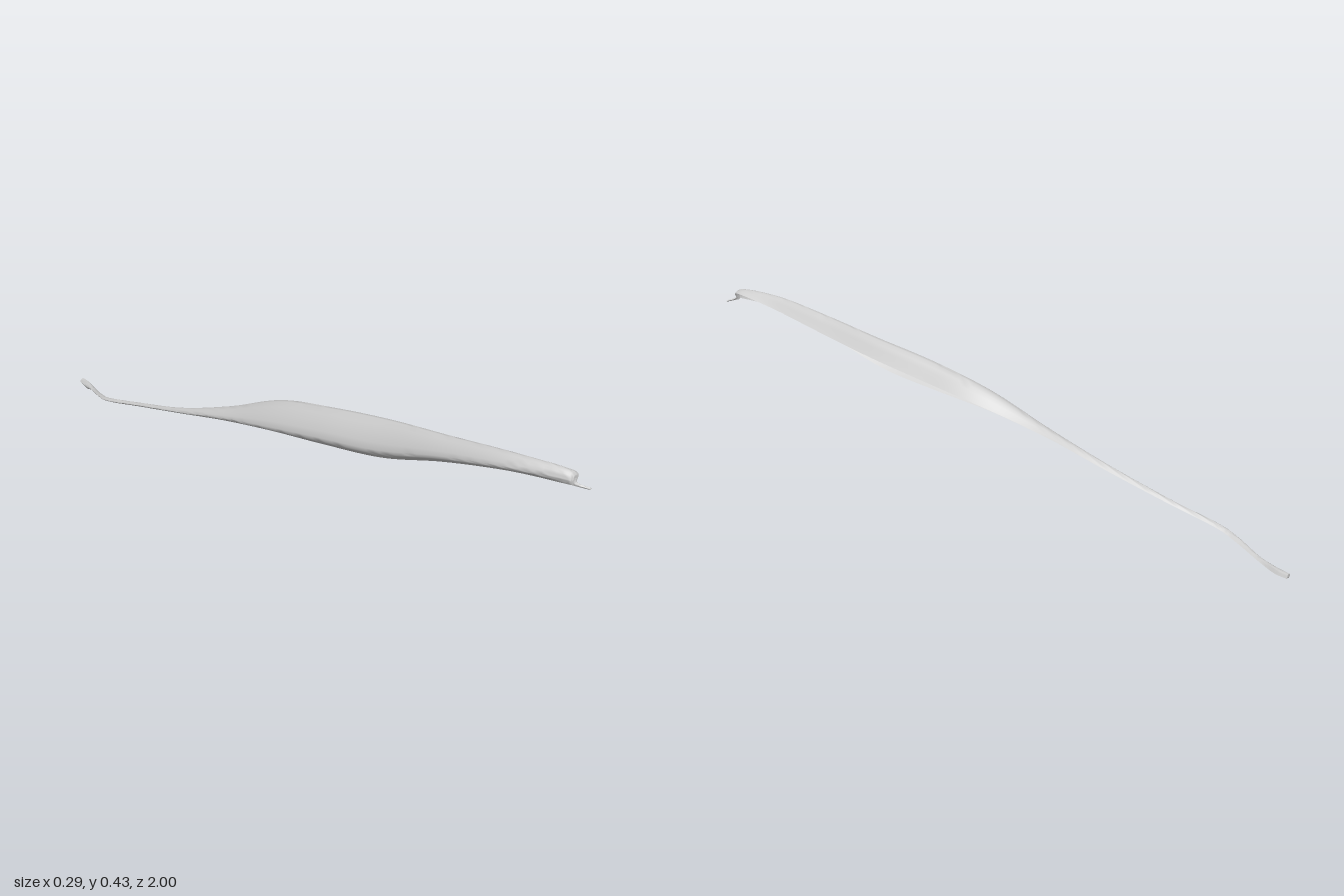
import * as THREE from 'three';
import { toCreasedNormals } from 'three/addons/utils/BufferGeometryUtils.js';

// Cross-sections from stalk end to leaf tip:
// [z, curled under-edge x,y, left side x,y, crown x,y, right edge x,y]
const STATIONS = [
  [-1.0, -0.088, 0.005, -0.096, 0.012, -0.083, 0.021, -0.075, 0.009],
  [-0.96, -0.097, 0.001, -0.101, 0.013, -0.086, 0.022, -0.077, 0.010],
  [-0.90, -0.105, 0.015, -0.112, 0.020, -0.104, 0.024, -0.094, 0.018],
  [-0.82, -0.130, 0.031, -0.137, 0.036, -0.129, 0.041, -0.117, 0.033],
  [-0.75, -0.139, 0.043, -0.147, 0.049, -0.138, 0.056, -0.125, 0.049],
  [-0.60, -0.118, 0.076, -0.126, 0.083, -0.117, 0.090, -0.105, 0.083],
  [-0.40, -0.099, 0.124, -0.107, 0.131, -0.095, 0.142, -0.077, 0.134],
  [-0.20, -0.074, 0.170, -0.090, 0.184, -0.062, 0.213, -0.030, 0.204],
  [0.00, -0.050, 0.207, -0.075, 0.228, -0.020, 0.300, 0.035, 0.268],
  [0.20, -0.018, 0.232, -0.050, 0.264, 0.007, 0.346, 0.056, 0.296],
  [0.40, 0.014, 0.263, -0.016, 0.295, 0.036, 0.378, 0.080, 0.328],
  [0.60, 0.042, 0.327, 0.017, 0.352, 0.053, 0.405, 0.095, 0.362],
  [0.80, 0.066, 0.379, 0.050, 0.396, 0.077, 0.430, 0.110, 0.398],
  [0.95, 0.102, 0.394, 0.095, 0.410, 0.110, 0.432, 0.133, 0.422],
  [0.97, 0.115, 0.391, 0.111, 0.398, 0.117, 0.403, 0.124, 0.398],
  [1.0, 0.140, 0.383, 0.137, 0.386, 0.141, 0.388, 0.145, 0.385],
];

const rail = (k) => new THREE.CatmullRomCurve3(
  STATIONS.map((s) => new THREE.Vector3(s[k], s[k + 1], s[0])), false, 'catmullrom', 0.5);

// Curled sheet swept along four rails, with an inner and an outer face
function leafGeometry(rings = 128, arc = 14) {
  const rails = [1, 3, 5, 7].map(rail);
  const positions = [], index = [], n = arc * 2;
  for (let i = 0; i <= rings; i++) {
    const [U, L, C, R] = rails.map((r) => r.getPoint(i / rings));
    const mid = U.clone().add(R).multiplyScalar(0.5);
    // The stalk is nearly solid, the blade thin
    const solid = 1 - THREE.MathUtils.smoothstep(U.z, -0.5, 0);
    const inset = (p) => {
      const d = mid.clone().sub(p), gap = d.length();
      return p.clone().addScaledVector(d, Math.min(0.9, (0.005 + 0.007 * solid) / gap));
    };
    const outer = new THREE.CatmullRomCurve3([U, L, C, R]);
    const inner = new THREE.CatmullRomCurve3([U, inset(L), inset(C), R]);
    for (let j = 0; j < n; j++) {
      const p = j <= arc ? outer.getPoint(j / arc) : inner.getPoint((n - j) / arc);
      positions.push(p.x, p.y, p.z);
    }
  }
  for (let i = 0; i < rings; i++) {
    for (let j = 0; j < n; j++) {
      const a = i * n + j, b = i * n + (j + 1) % n;
      index.push(a, a + n, b, b, a + n, b + n);
    }
  }
  // End caps
  const end = rings * n;
  for (let j = 0; j < arc; j++) {
    const a = j, b = j + 1, c = (n - j) % n, d = n - j - 1;
    index.push(a, b, c, b, d, c, end + a, end + c, end + b, end + b, end + c, end + d);
  }
  const geo = new THREE.BufferGeometry();
  geo.setAttribute('position', new THREE.Float32BufferAttribute(positions, 3));
  geo.setIndex(index);
  return toCreasedNormals(geo, 0.9);
}

export function createModel() {
  const group = new THREE.Group();
  group.name = 'driedLeaf';
  const material = new THREE.MeshStandardMaterial({ color: 0xcccccc, side: THREE.DoubleSide });
  const leaf = new THREE.Mesh(leafGeometry(), material);
  leaf.name = 'leafBladeAndStalk';
  group.add(leaf);
  return group;
}
